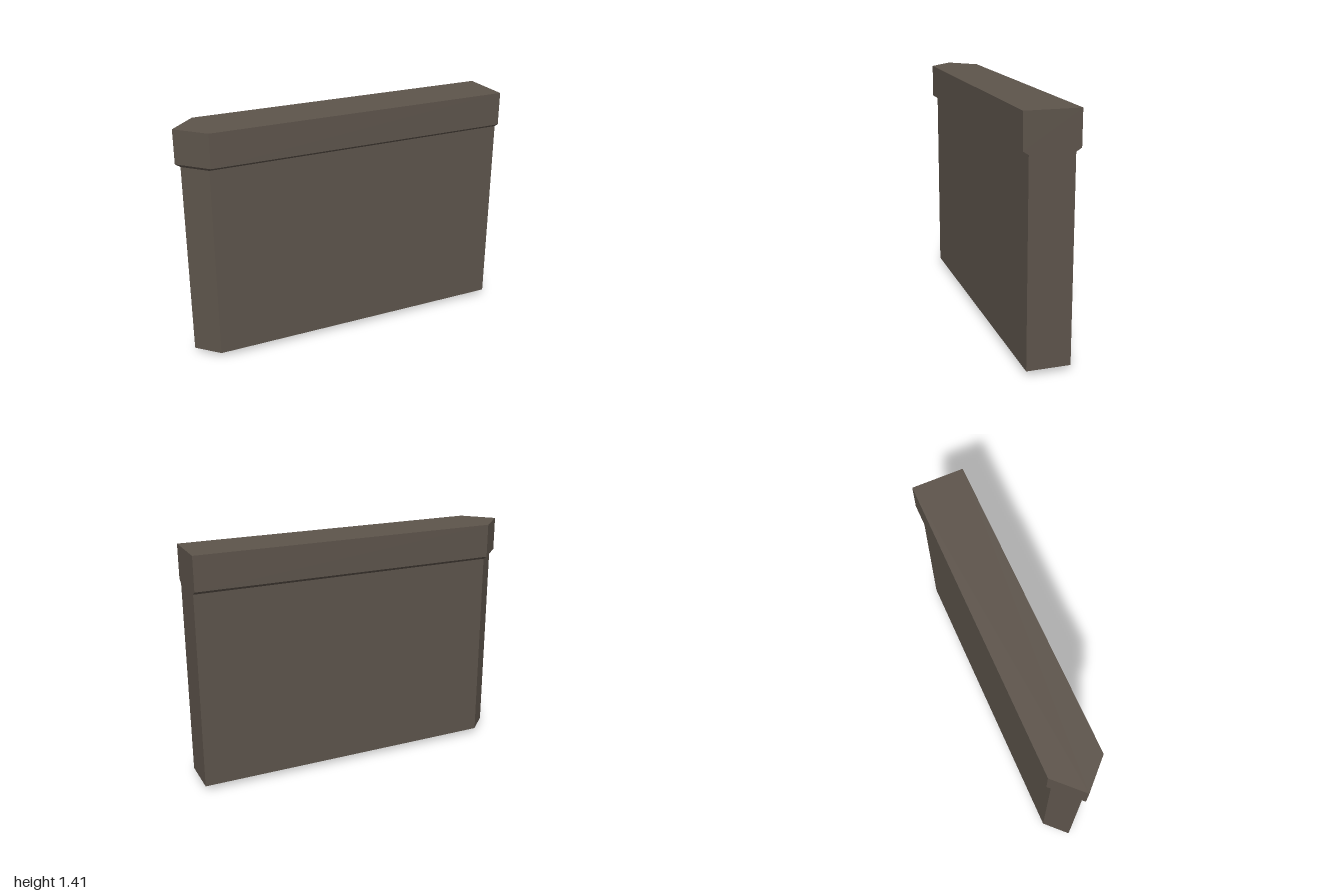
import * as THREE from 'three';

// Five-sided plan: a point at -x, two shoulders, and a flat end at +x.
function plan(y, tipX, halfDepth) {
  return [
    [tipX, y, 0],
    [-0.845, y, halfDepth],
    [1, y, halfDepth],
    [1, y, -halfDepth],
    [-0.845, y, -halfDepth],
  ].map((p) => new THREE.Vector3(...p));
}

// Joins stacked outlines with flat faces, optionally closing the top.
function loft(rings, closeTop) {
  const points = [];
  const face = (a, b, c) => {
    if (new THREE.Triangle(a, b, c).getArea() > 1e-7) points.push(a, b, c);
  };
  for (let r = 0; r < rings.length - 1; r++) {
    const low = rings[r], high = rings[r + 1], n = low.length;
    for (let i = 0; i < n; i++) {
      const j = (i + 1) % n;
      face(low[i], low[j], high[j]);
      face(low[i], high[j], high[i]);
    }
  }
  if (closeTop) {
    const top = rings[rings.length - 1];
    for (let i = 1; i < top.length - 1; i++) face(top[0], top[i], top[i + 1]);
  }
  const geometry = new THREE.BufferGeometry().setFromPoints(points);
  geometry.computeVertexNormals();
  return geometry;
}

export function createModel() {
  const group = new THREE.Group();
  group.name = 'wallSegment';
  const stone = new THREE.MeshStandardMaterial({ color: 0x5d544b });
  stone.name = 'dark stone';

  const add = (name, geometry) => {
    const mesh = new THREE.Mesh(geometry, stone);
    mesh.name = name;
    group.add(mesh);
  };

  // The underside narrows to a central ridge.
  const ridgeStart = new THREE.Vector3(-0.77, 0, 0);
  const ridgeEnd = new THREE.Vector3(0.8, 0, 0);
  const ridge = [ridgeStart, ridgeStart, ridgeEnd, ridgeEnd, ridgeStart];

  add('wallBody', loft([ridge, plan(0.03, -0.97, 0.125), plan(1.19, -0.97, 0.125)], false));

  // Overhanging coping with a chamfered lower edge.
  add('coping', loft([plan(1.19, -0.97, 0.125), plan(1.21, -1, 0.156), plan(1.41, -1, 0.156)], true));

  return group;
}
